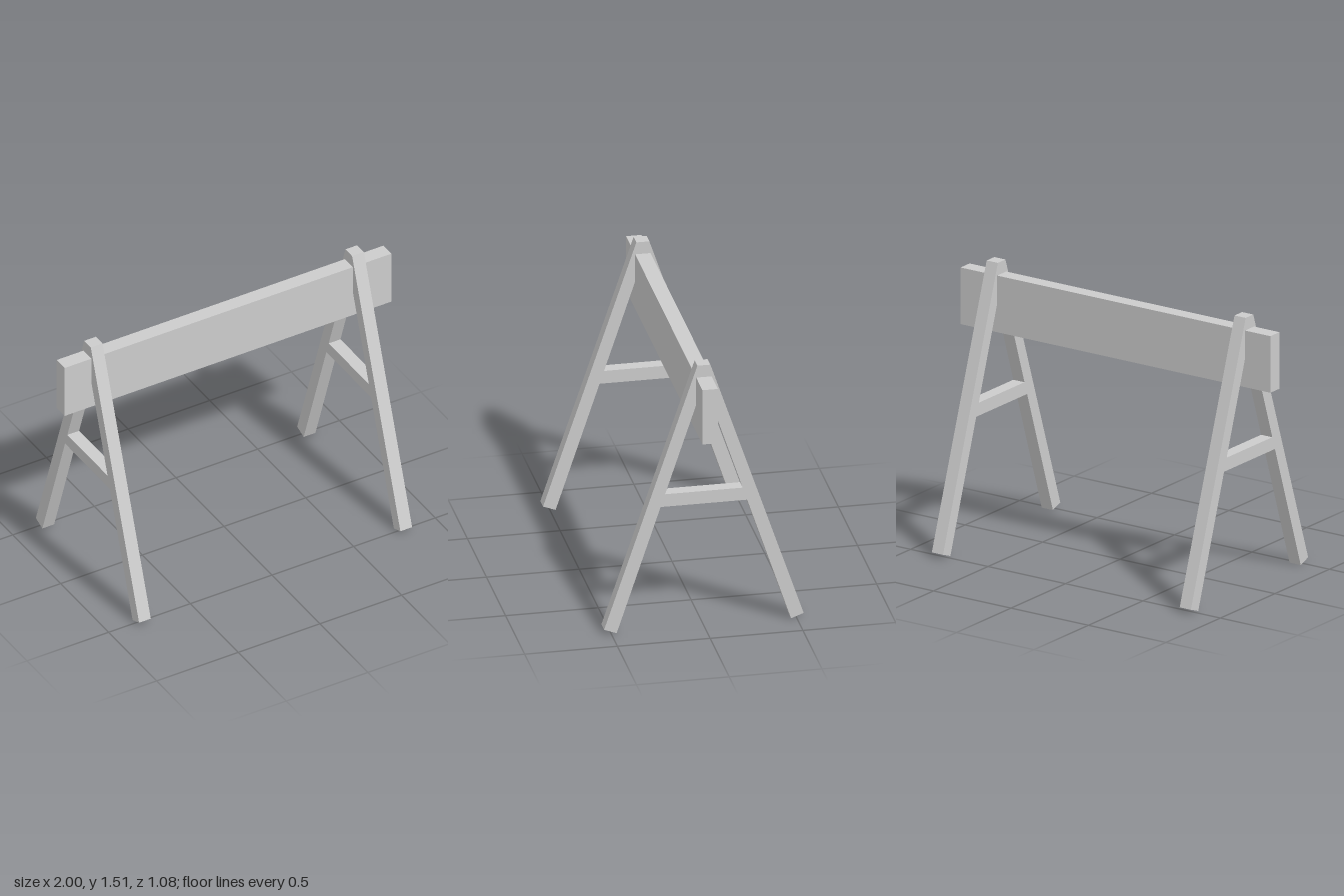
import * as THREE from 'three';

const material = new THREE.MeshStandardMaterial({
  color: 0xcccccc,
  flatShading: true,
  side: THREE.DoubleSide
});
const WIDTH = 0.072; // thickness of the trestle timbers

// Leaves the underside of a timber open by dropping its downward faces
function openBelow(geometry) {
  const flat = geometry.index ? geometry.toNonIndexed() : geometry;
  const { position, normal } = flat.attributes;
  const kept = [];
  for (let i = 0; i < position.count; i += 3) {
    if (normal.getY(i) < -0.9) continue;
    kept.push(...position.array.slice(i * 3, i * 3 + 9));
  }
  const open = new THREE.BufferGeometry();
  open.setAttribute('position', new THREE.Float32BufferAttribute(kept, 3));
  open.computeVertexNormals();
  return open;
}

// Two splayed legs meeting in a flat top
function legsGeometry() {
  const half = [[0.035, 1.512], [0.538, 0.025], [0.47, 0]];
  const outline = [
    ...half.map(([x, y]) => new THREE.Vector2(-x, y)),
    new THREE.Vector2(0, 1.41),
    ...half.map(([x, y]) => new THREE.Vector2(x, y)).reverse()
  ];
  const geometry = new THREE.ExtrudeGeometry(new THREE.Shape(outline), {
    depth: WIDTH,
    bevelEnabled: false
  });
  geometry.translate(0, 0, -WIDTH / 2);
  geometry.rotateY(-Math.PI / 2);
  return geometry;
}

function part(name, geometry, y = 0) {
  const mesh = new THREE.Mesh(openBelow(geometry), material);
  mesh.name = name;
  mesh.position.y = y;
  return mesh;
}

export function createModel() {
  const group = new THREE.Group();
  group.name = 'barrier';

  // Long plank held between the trestle tops
  group.add(part('plank', new THREE.BoxGeometry(2, 0.315, 0.083), 1.286));

  // A-shaped trestle near each end
  for (const [name, side] of [['leftTrestle', 1], ['rightTrestle', -1]]) {
    const trestle = new THREE.Group();
    trestle.name = name;
    trestle.add(
      part('legs', legsGeometry()),
      part('crossbar', new THREE.BoxGeometry(WIDTH, 0.072, 0.49), 0.746)
    );
    trestle.position.x = side * 0.8;
    group.add(trestle);
  }
  return group;
}
